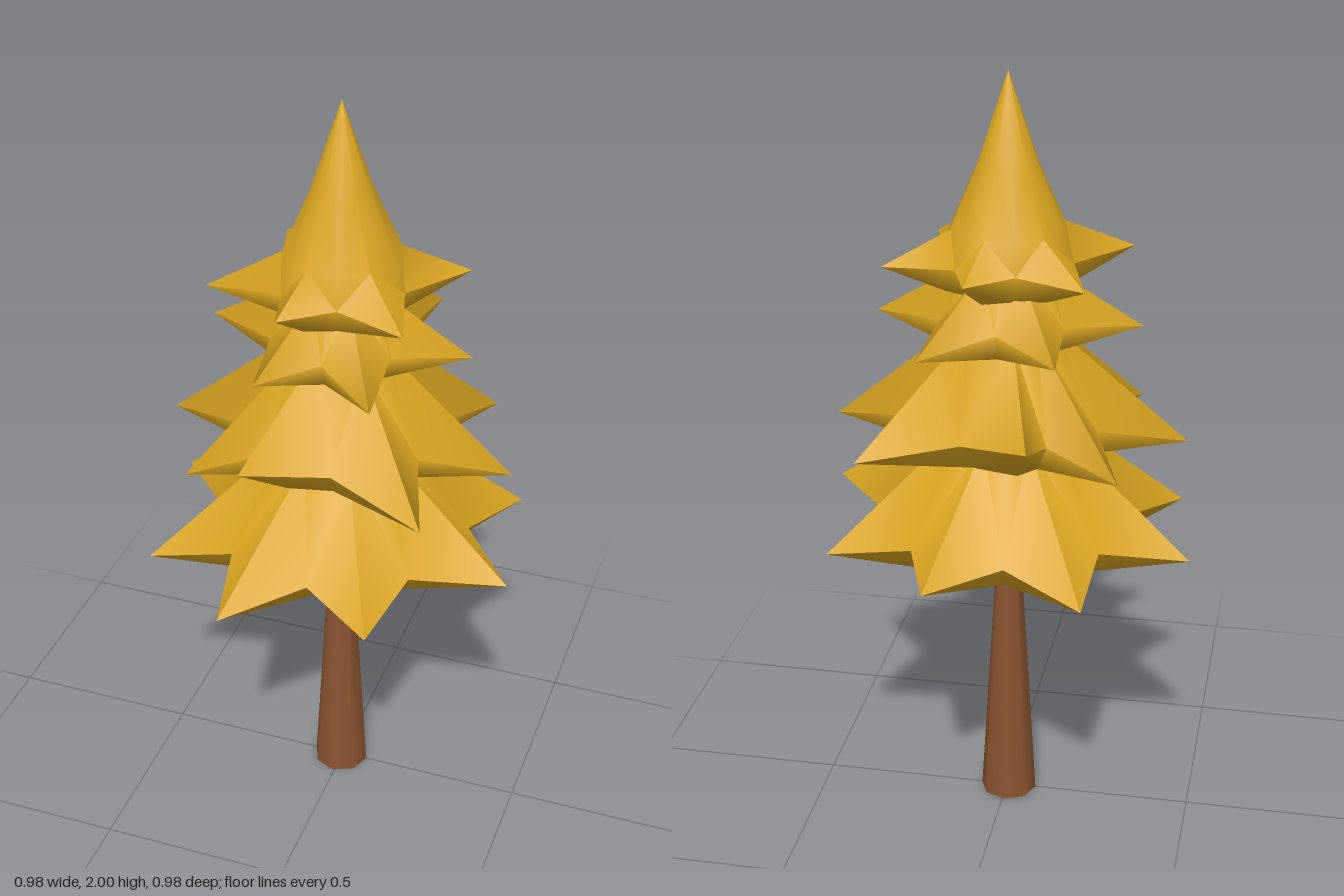
import * as THREE from 'three';
import { toCreasedNormals } from 'three/addons/utils/BufferGeometryUtils.js';

// Each tier: neck rows [radius, y], star tips [degrees, radius, y],
// valley between tips [radius, y], and underside rows [radius below tips, radius below valleys, y].
const TIERS = [
  {
    name: 'topBoughs',
    necks: [[0, 2], [0.075, 1.78], [0.145, 1.62]],
    tips: [[-77, 0.27, 1.54], [-26, 0.32, 1.54], [44, 0.31, 1.53], [106, 0.27, 1.54], [154, 0.33, 1.54], [224, 0.31, 1.53]],
    valley: [0.17, 1.54],
    under: [[0.16, 0.13, 1.465], [0, 0, 1.5]],
  },
  {
    name: 'upperBoughs',
    necks: [[0.1, 1.52]],
    tips: [[0, 0.335, 1.38], [60, 0.34, 1.36], [114, 0.31, 1.37], [180, 0.34, 1.38], [240, 0.33, 1.36], [300, 0.345, 1.36]],
    valley: [0.18, 1.395],
    under: [[0.18, 0.15, 1.325], [0, 0, 1.36]],
  },
  {
    name: 'middleBoughs',
    necks: [[0.12, 1.36]],
    tips: [[3, 0.455, 1.08], [47, 0.456, 1.08], [107, 0.42, 1.19], [137, 0.425, 1.08], [180, 0.46, 1.08], [223, 0.44, 1.08], [254, 0.425, 1.19], [319, 0.44, 1.08]],
    valley: [0.26, 1.13],
    under: [[0.23, 0.2, 1.05], [0, 0, 1.08]],
  },
  {
    name: 'lowerBoughs',
    necks: [[0.15, 1.09]],
    tips: [[-76, 0.504, 0.84], [-32, 0.494, 0.81], [18, 0.515, 0.84], [64.5, 0.49, 0.81], [107.5, 0.514, 0.81], [147.4, 0.51, 0.79], [195.4, 0.506, 0.81], [239.3, 0.5, 0.8]],
    valley: [0.335, 0.845],
    under: [[0.28, 0.25, 0.76], [0, 0, 0.79]],
  },
];

// Star-shaped shell: columns alternate between a tip and the valley after it
function boughGeometry({ necks, tips, valley, under }) {
  const columns = [];
  tips.forEach(([angle, r, y], i) => {
    const next = tips[(i + 1) % tips.length][0] + (i === tips.length - 1 ? 360 : 0);
    columns.push({ angle, r, y, ridge: true });
    columns.push({ angle: (angle + next) / 2, r: valley[0], y: valley[1], ridge: false });
  });

  const rows = [
    ...necks.map((neck) => () => neck),
    (c) => [c.r, c.y],
    ...under.map(([ridge, dip, y]) => (c) => [c.ridge ? ridge : dip, y]),
  ];

  const positions = [];
  const indices = [];
  const n = columns.length;
  rows.forEach((row, i) => columns.forEach((c, j) => {
    const a = THREE.MathUtils.degToRad(c.angle);
    const [r, y] = row(c);
    positions.push(r * Math.cos(a) - 0.003, y, r * Math.sin(a));
    if (i === rows.length - 1) return;
    const k = (j + 1) % n;
    const p = i * n + j, q = i * n + k, s = p + n, t = q + n;
    // Split each quad along the side of its ridge so both halves of a bough mirror
    if (c.ridge) indices.push(p, q, t, p, t, s);
    else indices.push(p, q, s, q, t, s);
  }));

  const geometry = new THREE.BufferGeometry();
  geometry.setAttribute('position', new THREE.Float32BufferAttribute(positions, 3));
  geometry.setIndex(indices);
  return toCreasedNormals(geometry, 1.1);
}

export function createModel() {
  const tree = new THREE.Group();
  tree.name = 'coniferTree';

  const foliage = new THREE.MeshStandardMaterial({ name: 'golden foliage', color: 0xdaa520 });
  const bark = new THREE.MeshStandardMaterial({ name: 'brown bark', color: 0x8b5430 });

  // Tapered trunk
  const trunk = new THREE.Mesh(new THREE.CylinderGeometry(0.025, 0.075, 0.85, 8), bark);
  trunk.name = 'trunk';
  trunk.position.set(-0.005, 0.425, 0);
  tree.add(trunk);

  // Four tiers of pointed boughs
  for (const tier of TIERS) {
    const boughs = new THREE.Mesh(boughGeometry(tier), foliage);
    boughs.name = tier.name;
    tree.add(boughs);
  }
  return tree;
}
